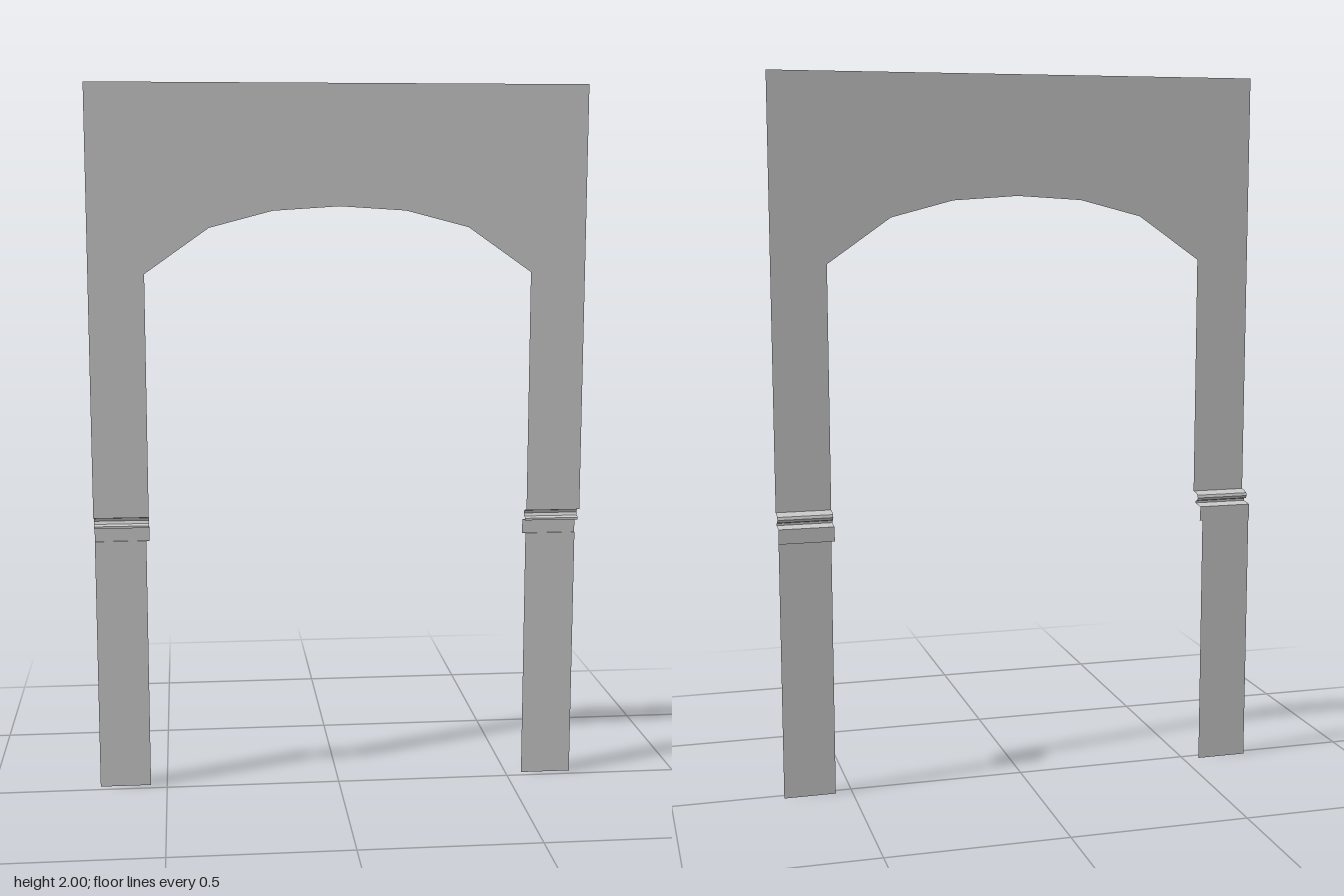
import * as THREE from 'three';

const material = new THREE.MeshStandardMaterial({
  color: 0xcccccc, flatShading: true, side: THREE.DoubleSide,
});

const OUTER = 0.692, INNER = 0.538, POST_INNER = 0.547;
const WALL_Z = 0.0275, POST_Z = -0.0275;
const MOULD_TOP = 0.805, MOULD_BOTTOM = 0.727;

// Thin sheet swept along x through a (y, z) profile, from x0 to x1
function strip(name, x0, x1, profile) {
  const pos = [], index = [];
  profile.forEach(([y, z], i) => {
    pos.push(x0, y, z, x1, y, z);
    if (i > 0) {
      const a = 2 * i - 2;
      index.push(a, a + 2, a + 3, a, a + 3, a + 1);
    }
  });
  const geo = new THREE.BufferGeometry();
  geo.setAttribute('position', new THREE.Float32BufferAttribute(pos, 3));
  geo.setIndex(index);
  geo.computeVertexNormals();
  const mesh = new THREE.Mesh(geo, material);
  mesh.name = name;
  return mesh;
}

export function createModel() {
  const group = new THREE.Group();
  group.name = 'archway';

  // Flat arch wall with a faceted opening
  const halfArch = [[INNER, 1.485], [0.36, 1.61], [0.185, 1.656]];
  const arch = [
    ...halfArch, [0, 1.668],
    ...halfArch.map(([x, y]) => [-x, y]).reverse(),
  ];
  const outline = [
    [-OUTER, MOULD_TOP], [-OUTER, 2], [OUTER, 2], [OUTER, MOULD_TOP],
    [INNER, MOULD_TOP], ...arch, [-INNER, MOULD_TOP],
  ].map(([x, y]) => new THREE.Vector2(x, y));
  const wall = new THREE.Mesh(new THREE.ShapeGeometry(new THREE.Shape(outline)), material);
  wall.name = 'archWall';
  wall.position.z = WALL_Z;
  group.add(wall);

  // Moulding profile: rounded bead, groove, then a flat band
  const moulding = [
    [MOULD_TOP, WALL_Z], [0.803, 0.01], [0.798, -0.004], [0.79, -0.007],
    [0.782, -0.002], [0.778, 0.012], [0.772, 0.012], [0.768, POST_Z],
    [MOULD_BOTTOM, POST_Z], [MOULD_BOTTOM, POST_Z + 0.004],
  ];

  // Moulding and lower post on each side
  for (const [side, s] of [['left', 1], ['right', -1]]) {
    const span = (inner) => (s > 0 ? [inner, OUTER] : [-OUTER, -inner]);
    group.add(strip(side + 'Moulding', ...span(INNER), moulding));
    group.add(strip(side + 'LowerPost', ...span(POST_INNER),
      [[MOULD_BOTTOM, POST_Z + 0.004], [0, POST_Z + 0.004]]));
  }
  return group;
}
